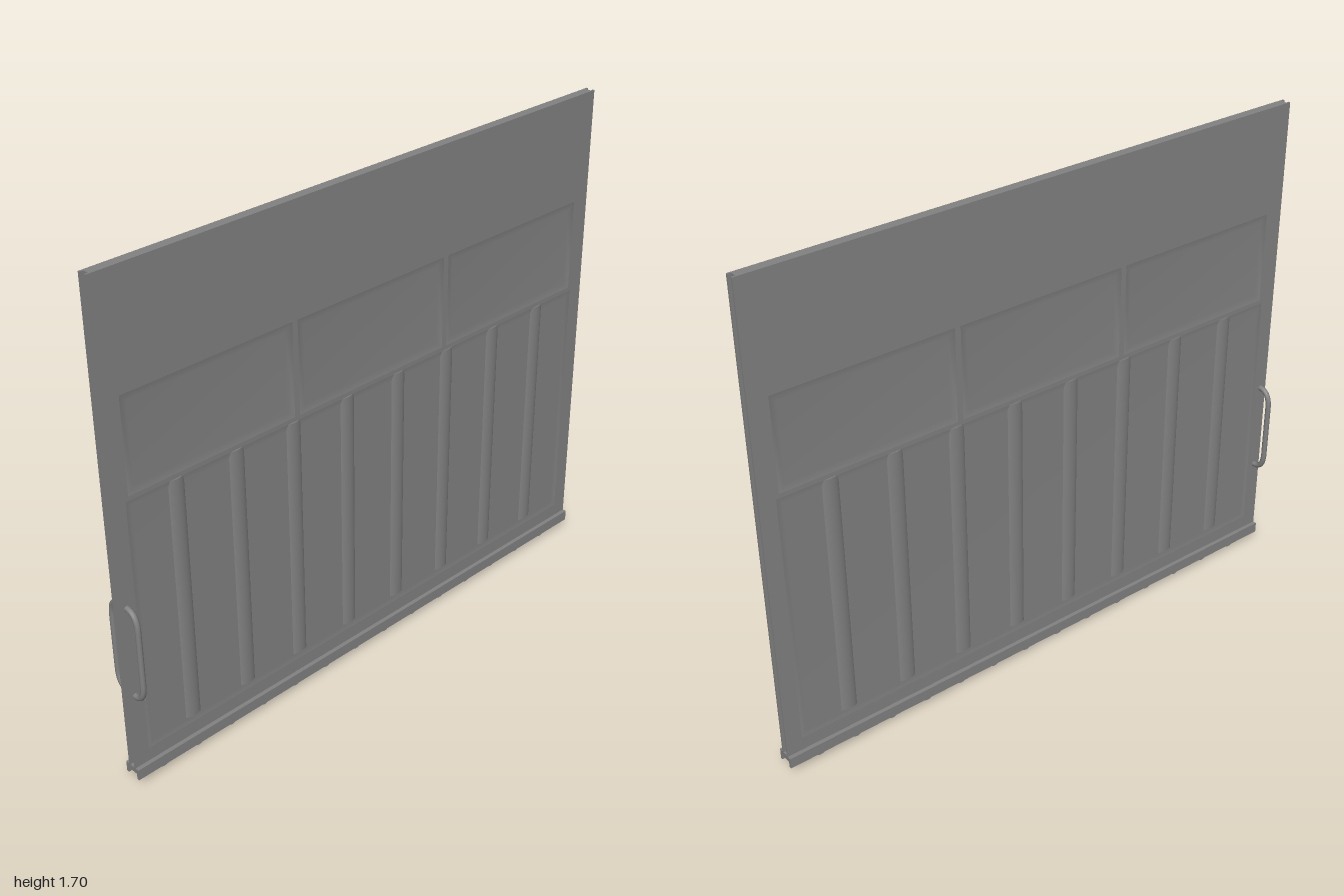
import * as THREE from 'three';

const material = new THREE.MeshStandardMaterial({ color: 0x828282, side: THREE.DoubleSide });
const T = 0.016; // half thickness of the door leaf

function add(parent, name, geometry, x = 0, y = 0, z = 0) {
  const mesh = new THREE.Mesh(geometry, material);
  mesh.name = name;
  mesh.position.set(x, y, z);
  parent.add(mesh);
  return mesh;
}

function rectPoints(x0, y0, x1, y1) {
  return [[x0, y0], [x1, y0], [x1, y1], [x0, y1]].map(p => new THREE.Vector2(...p));
}

// softly shaded sloped border running in to a flat floor
function recessGeometry([x0, y0, x1, y1], bevel, depth) {
  const outer = rectPoints(x0, y0, x1, y1);
  const inner = rectPoints(x0 + bevel, y0 + bevel, x1 - bevel, y1 - bevel);
  const pos = [
    ...outer.flatMap(p => [p.x, p.y, T]),
    ...inner.flatMap(p => [p.x, p.y, T - depth]),
  ];
  const index = [4, 5, 6, 4, 6, 7];
  for (let i = 0; i < 4; i++) {
    const j = (i + 1) % 4;
    index.push(i, j, j + 4, i, j + 4, i + 4);
  }
  const g = new THREE.BufferGeometry();
  g.setAttribute('position', new THREE.Float32BufferAttribute(pos, 3));
  g.setIndex(index);
  g.computeVertexNormals();
  return g;
}

export function createModel() {
  const door = new THREE.Group();
  door.name = 'slidingDoor';

  const windows = [-0.63, 0, 0.63].map(x => [x - 0.305, 1.015, x + 0.305, 1.33]);
  const lowerPanel = [-0.945, 0.115, 0.945, 1.0];

  // both faces of the leaf, with recesses and ribs
  for (const side of [1, -1]) {
    const face = new THREE.Group();
    face.name = side > 0 ? 'frontFace' : 'backFace';
    if (side < 0) face.rotation.y = Math.PI;
    door.add(face);

    const skin = new THREE.Shape(rectPoints(-1, 0.06, 1, 1.7));
    for (const r of [...windows, lowerPanel]) skin.holes.push(new THREE.Path(rectPoints(...r)));
    add(face, 'skin', new THREE.ShapeGeometry(skin), 0, 0, T);
    windows.forEach(r => add(face, 'windowRecess', recessGeometry(r, 0.024, 0.005)));
    add(face, 'lowerRecess', recessGeometry(lowerPanel, 0.02, 0.003));

    // shallow rounded vertical ribs
    for (let i = 0; i < 8; i++) {
      const rib = add(face, 'rib', new THREE.CylinderGeometry(0.0357, 0.0357, 0.86, 16, 1, false, -1, 2),
        -0.77 + i * 0.22, 0.57, 0.002);
      rib.scale.z = 0.5;
    }

    // curved grab handle at the model's right edge
    const hx = -0.975 * side;
    const handlePath = new THREE.CurvePath();
    const v = (y, z) => new THREE.Vector3(hx, y, z);
    handlePath.add(new THREE.LineCurve3(v(0.337, 0.01), v(0.337, 0.018)));
    handlePath.add(new THREE.QuadraticBezierCurve3(v(0.337, 0.018), v(0.337, 0.061), v(0.40, 0.061)));
    handlePath.add(new THREE.LineCurve3(v(0.40, 0.061), v(0.593, 0.061)));
    handlePath.add(new THREE.QuadraticBezierCurve3(v(0.593, 0.061), v(0.656, 0.061), v(0.656, 0.018)));
    handlePath.add(new THREE.LineCurve3(v(0.656, 0.018), v(0.656, 0.01)));
    add(face, 'handle', new THREE.TubeGeometry(handlePath, 48, 0.0095, 10));

    // side lip of the bottom rail
    add(face, 'railLip', new THREE.BoxGeometry(2, 0.038, 0.009), 0, 0.049, 0.0255);
  }

  // leaf edges: closed top and bottom, shallow groove down each side
  add(door, 'topEdge', new THREE.BoxGeometry(1.976, 0.04, 2 * T - 0.001), 0, 1.68, 0);
  add(door, 'bottomEdge', new THREE.BoxGeometry(1.976, 0.04, 2 * T - 0.001), 0, 0.08, 0);
  for (const s of [1, -1]) {
    add(door, 'sideCore', new THREE.BoxGeometry(0.03, 1.64, 0.026), s * 0.973, 0.88, 0);
    for (const z of [1, -1]) {
      add(door, 'sideLip', new THREE.BoxGeometry(0.04, 1.64, 0.006), s * 0.98, 0.88, z * 0.0125);
    }
  }

  // bottom rail web and its row of rollers
  add(door, 'railWeb', new THREE.BoxGeometry(2, 0.018, 0.059), 0, 0.059, 0);
  for (let i = 0; i < 14; i++) {
    const x = -0.887 + i * 0.136;
    const roller = add(door, 'roller', new THREE.CylinderGeometry(0.023, 0.023, 0.012, 20), x, 0.023, 0);
    roller.rotation.x = Math.PI / 2;
    add(door, 'rollerBracket', new THREE.BoxGeometry(0.02, 0.03, 0.008), x, 0.04, 0);
  }
  return door;
}
